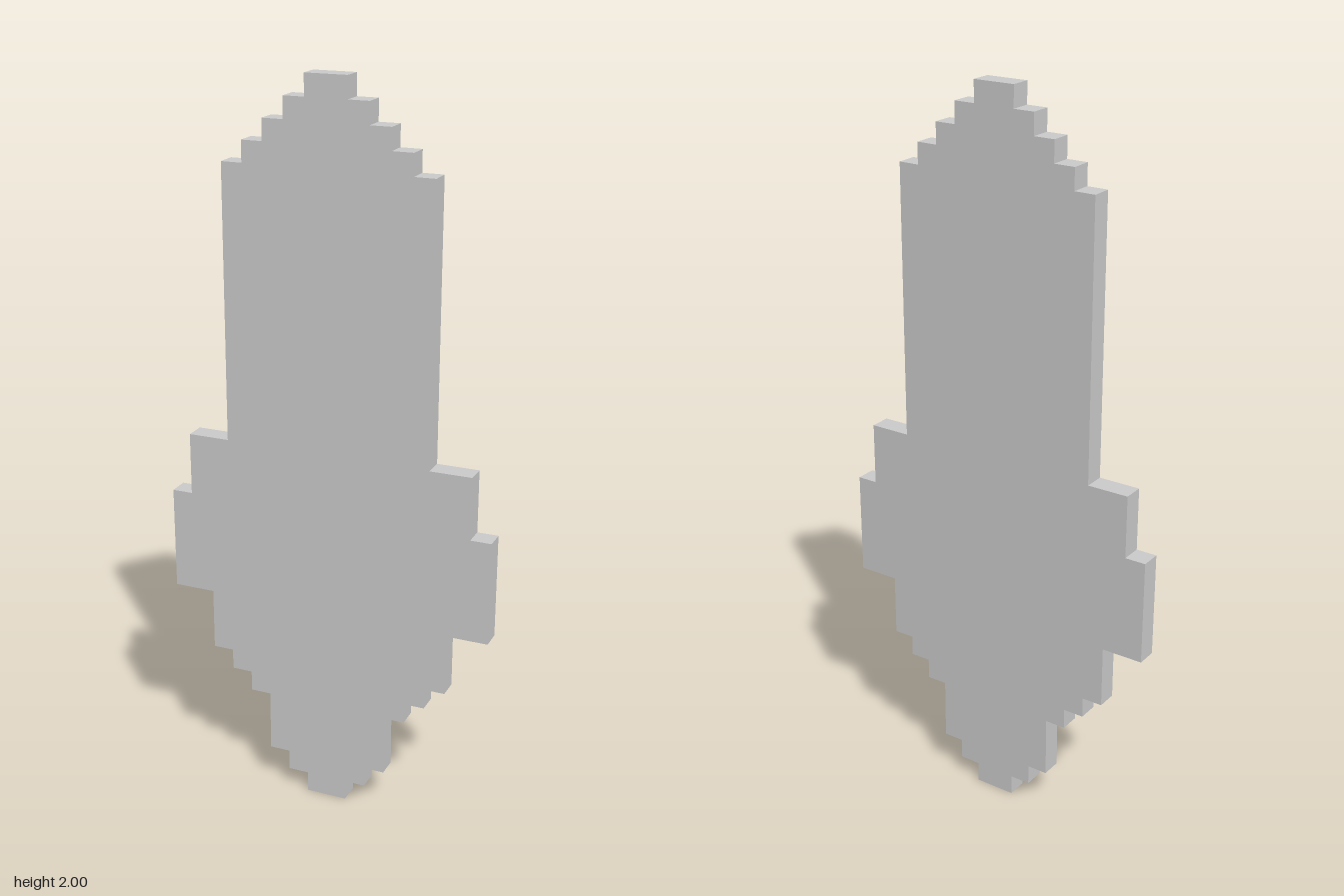
import * as THREE from 'three';

// One pixel step; the plate is 35 steps tall and one step thick
const U = 2 / 35;

// Stepped silhouette from bottom to top: [top of row, half width] in steps
const ROWS = [
  [1, 1], [2, 2], [5, 3], [6, 4], [7, 5], [10, 6], [15, 8],
  [18, 7], [31, 5], [32, 4], [33, 3], [34, 2], [35, 1],
];

export function createModel() {
  const group = new THREE.Group();
  group.name = 'steppedPlate';

  // Right-hand edge going up, then its mirror image going down
  const side = [];
  let bottom = 0;
  for (const [top, half] of ROWS) {
    side.push([half, bottom], [half, top]);
    bottom = top;
  }
  const mirrored = side.map(([x, y]) => [-x, y]).reverse();
  const outline = [...side, ...mirrored].map(([x, y]) => new THREE.Vector2(x * U, y * U));

  // Flat plate with square edges
  const geometry = new THREE.ExtrudeGeometry(new THREE.Shape(outline), { depth: U, bevelEnabled: false });
  geometry.translate(0, 0, -U / 2);
  const plate = new THREE.Mesh(
    geometry,
    new THREE.MeshStandardMaterial({ color: 0xcccccc, flatShading: true })
  );
  plate.name = 'plate';
  group.add(plate);
  return group;
}
